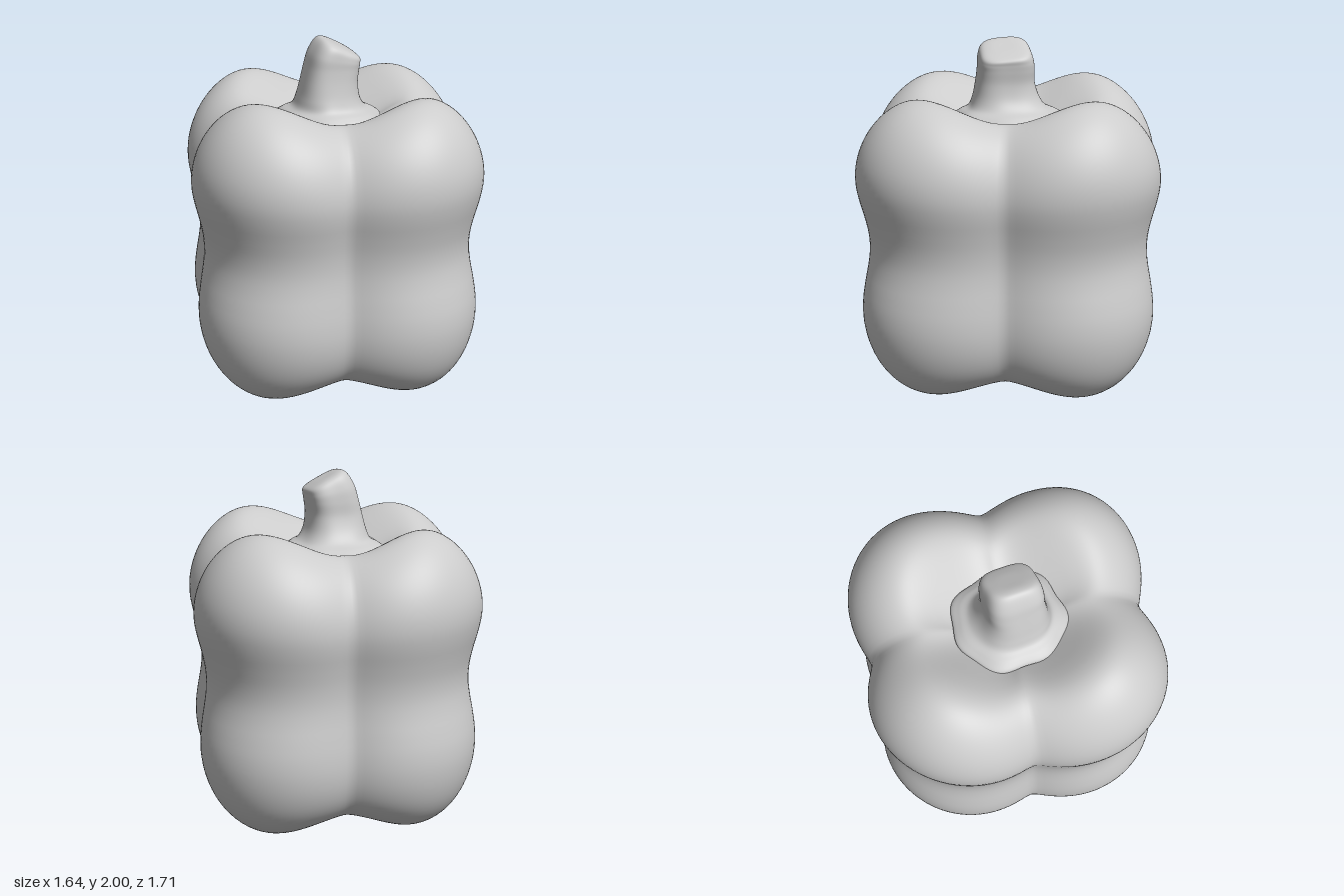
import * as THREE from 'three';

const material = new THREE.MeshStandardMaterial({ color: 0xcccccc, roughness: 0.6 });

// Smooth closed skin over stacked rings, bottom to top: point(t, angle) -> [x, y, z]
function skin(name, rows, cols, point) {
  const positions = [], index = [];
  for (let i = 0; i <= rows; i++) {
    for (let j = 0; j < cols; j++) {
      positions.push(...point(i / rows, (j / cols) * Math.PI * 2));
      if (i === rows) continue;
      const a = i * cols + j, b = i * cols + ((j + 1) % cols);
      index.push(a, a + cols, b, b, a + cols, b + cols);
    }
  }
  const geometry = new THREE.BufferGeometry();
  geometry.setAttribute('position', new THREE.Float32BufferAttribute(positions, 3));
  geometry.setIndex(index);
  geometry.computeVertexNormals();
  const mesh = new THREE.Mesh(geometry, material);
  mesh.name = name;
  return mesh;
}

const curve = (points) =>
  new THREE.CatmullRomCurve3(points.map(([x, y, z = 0]) => new THREE.Vector3(x, y, z)), false, 'catmullrom', 0.5);

// Point on a profile, averaged with its neighbours to soften the curvature
function softPoint(profile, t) {
  const d = Math.min(t, 1 - t, 0.03);
  return profile.getPoint(t).multiplyScalar(2)
    .add(profile.getPoint(t - d)).add(profile.getPoint(t + d)).multiplyScalar(0.25);
}

// Four-lobed fruit: blends a lobe profile (diagonals) with a crease profile (axes)
function makeFruit() {
  const lobe = curve([
    [0, 0.21], [0.2, 0.15], [0.38, 0.05], [0.58, -0.01], [0.77, 0.05], [0.91, 0.21], [0.97, 0.45], [0.945, 0.65], [0.897, 0.85],
    [0.932, 1.05], [0.992, 1.26], [0.955, 1.47], [0.84, 1.64], [0.69, 1.725], [0.55, 1.705], [0.38, 1.59], [0.2, 1.47], [0, 1.43],
  ]);
  const crease = curve([
    [0, 0.21], [0.2, 0.16], [0.35, 0.115], [0.5, 0.105], [0.62, 0.15], [0.72, 0.27], [0.765, 0.45], [0.75, 0.65], [0.725, 0.85],
    [0.75, 1.05], [0.787, 1.23], [0.735, 1.42], [0.63, 1.55], [0.51, 1.605], [0.41, 1.59], [0.3, 1.53], [0.2, 1.47], [0, 1.43],
  ]);
  const lobeScale = [1, 0.99, 0.965, 0.995];
  return skin('fruit', 110, 144, (t, angle) => {
    const s = Math.abs(Math.sin(2 * angle));
    const scale = lobeScale[Math.floor(angle / (Math.PI / 2)) % 4];
    const a = softPoint(lobe, t), b = softPoint(crease, t);
    const bulge = Math.sqrt(s * s + 0.01) - 0.1 * (1 - s);
    const r = THREE.MathUtils.lerp(b.x, a.x * (1 + (scale - 1) * s), bulge);
    const y = THREE.MathUtils.lerp(b.y, a.y, s * s);
    return [r * Math.cos(angle) * 0.967, y, r * Math.sin(angle) * 1.008];
  });
}

// Wavy calyx disc running up into a squared stem with a slanted cut
function makeStem() {
  // Each ring: centre [x, y, z], radii [x, z], then [superellipse power, slant, waviness]
  const rings = [
    [[-0.01, 1.46, 0.01], [0, 0], [2, 0, 0]],
    [[-0.01, 1.48, 0.01], [0.19, 0.2], [2, 0, 0.03]],
    [[-0.01, 1.515, 0.01], [0.28, 0.3], [2, 0, 0.05]],
    [[-0.01, 1.55, 0.01], [0.298, 0.318], [2, 0, 0.05]],
    [[-0.01, 1.58, 0.015], [0.262, 0.28], [2, 0, 0.04]],
    [[-0.01, 1.608, 0.02], [0.205, 0.225], [2.3, 0, 0.015]],
    [[-0.015, 1.665, 0.03], [0.173, 0.19], [2.7, 0, 0]],
    [[-0.01, 1.75, 0.035], [0.154, 0.167], [3, 0, 0]],
    [[0.005, 1.83, 0.03], [0.145, 0.16], [3.3, 0.05, 0]],
    [[0.02, 1.89, 0.03], [0.135, 0.155], [3.5, 0.2, 0]],
    [[0.042, 1.94, 0.03], [0.113, 0.137], [3.3, 0.42, 0]],
    [[0.042, 1.96, 0.03], [0.07, 0.09], [2.8, 0.5, 0]],
    [[0.042, 1.962, 0.03], [0, 0], [2, 0.5, 0]],
  ];
  const [centres, radii, shapes] = [0, 1, 2].map((k) => curve(rings.map((ring) => ring[k])));
  return skin('calyxAndStem', 72, 72, (t, angle) => {
    const c = centres.getPoint(t), size = radii.getPoint(t), shape = shapes.getPoint(t);
    const turned = angle + 0.2;
    const square = Math.pow(
      Math.abs(Math.cos(turned)) ** shape.x + Math.abs(Math.sin(turned)) ** shape.x, -1 / shape.x);
    const wave = 1 + shape.z * (0.6 * Math.cos(7 * angle + 0.6) + 0.5 * Math.cos(4 * angle - 2));
    const x = size.x * square * wave * Math.cos(angle);
    const z = size.y * square * wave * Math.sin(angle);
    return [c.x + x, c.y - shape.y * x, c.z + z];
  });
}

export function createModel() {
  const model = new THREE.Group();
  model.name = 'bellPepper';
  model.add(makeFruit(), makeStem());
  return model;
}
